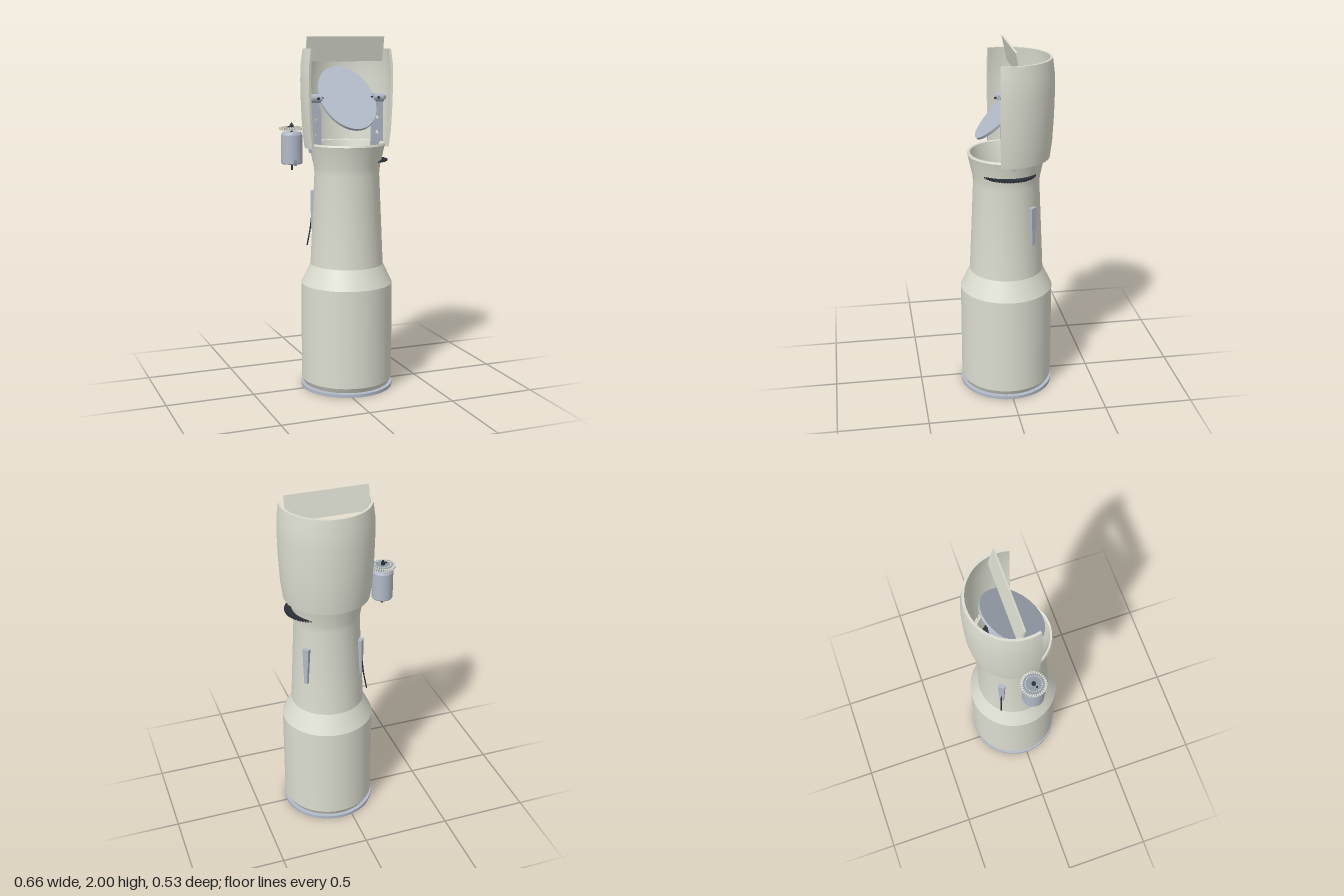
import * as THREE from 'three';
import { toCreasedNormals } from 'three/addons/utils/BufferGeometryUtils.js';

const material = (name, color, side = THREE.FrontSide) => {
  const m = new THREE.MeshStandardMaterial({ color, side });
  m.name = name;
  return m;
};

export function createModel() {
  const cream = material('cream shell', 0xdcddd0, THREE.DoubleSide);
  const steel = material('blue grey steel', 0xb2bac8);
  const slate = material('slate plate', 0x8f99a5);
  const dark = material('dark rubber', 0x2b3037);

  const model = new THREE.Group();
  const tower = new THREE.Group(); // everything on the main axis
  tower.name = 'tower';
  tower.position.x = 0.065;
  const motor = new THREE.Group();
  motor.name = 'motorUnit';
  motor.position.x = -0.262;
  model.add(tower, motor);

  const add = (parent, name, geo, mat, x = 0, y = 0, z = 0) => {
    const mesh = new THREE.Mesh(geo, mat);
    mesh.name = name;
    mesh.position.set(x, y, z);
    parent.add(mesh);
    return mesh;
  };
  const points = (list) => list.map(([x, y]) => new THREE.Vector2(x, y));
  const lathe = (list, start = 0, length = Math.PI * 2) =>
    toCreasedNormals(new THREE.LatheGeometry(points(list), 72, start, length), 0.4);
  const cyl = (r, h, n = 32, r2 = r) => new THREE.CylinderGeometry(r, r2, h, n);
  const teeth = (parent, name, count, r, y, size, mat) => {
    for (let i = 0; i < count; i++) {
      const a = (i / count) * Math.PI * 2;
      const t = add(parent, name, new THREE.BoxGeometry(...size), mat, r * Math.cos(a), y, r * Math.sin(a));
      t.rotation.y = -a;
    }
  };

  // Base ring with a round opening
  add(tower, 'baseRing', lathe([[0.095, 0], [0.263, 0], [0.263, 0.018], [0.095, 0.018], [0.095, 0]]), steel);

  // Hollow body with shoulder, tapered neck and flared lip
  add(tower, 'body', lathe([
    [0.235, 0.018], [0.245, 0.022], [0.26, 0.05], [0.26, 0.61], [0.207, 0.72], [0.183, 1.24],
    [0.187, 1.28], [0.21, 1.385], [0.214, 1.4], [0.209, 1.411], [0.199, 1.408],
    [0.172, 1.28], [0.169, 1.24], [0.193, 0.72], [0.246, 0.605], [0.246, 0.05], [0.235, 0.018],
  ]), cream);

  // Wrap-around hood, open at the front
  const hoodProfile = [
    [0.238, 1.385], [0.25, 1.48], [0.257, 1.62], [0.26, 1.76], [0.257, 1.85], [0.246, 1.932],
    [0.232, 1.932], [0.242, 1.85], [0.245, 1.76], [0.242, 1.62], [0.235, 1.48], [0.224, 1.385],
  ];
  const open = 1.295;
  add(tower, 'hood', lathe([...hoodProfile, hoodProfile[0]], open, Math.PI * 2 - 2 * open), cream);
  for (const a of [open, -open]) {
    const edge = add(tower, 'hoodEdge', new THREE.ShapeGeometry(new THREE.Shape(points(hoodProfile))), cream);
    edge.rotation.y = a - Math.PI / 2;
  }

  // Tilted visor board across the top
  const visor = add(tower, 'visor', new THREE.BoxGeometry(0.46, 0.14, 0.01), cream, 0, 1.93, -0.03);
  visor.rotation.x = 0.21;

  // Elliptical tilting mirror
  const mirrorGeo = cyl(0.163, 0.014, 72);
  mirrorGeo.scale(1, 1, 1.44);
  const mirror = add(tower, 'mirror', mirrorGeo, steel, 0, 1.66, 0);
  mirror.rotation.x = Math.PI / 4;

  // Mirror brackets and pivots on both sides
  for (const s of [-1, 1]) {
    const outline = [[0.15, 1.36], [0.222, 1.36], [0.222, 1.64], [0.17, 1.64], [0.15, 1.58]];
    const shape = new THREE.Shape(points(outline.map(([x, y]) => [s * x, y])));
    for (const y of [1.465, 1.55]) {
      shape.holes.push(new THREE.Path().absarc(s * 0.188, y, 0.011, 0, Math.PI * 2));
    }
    const plate = new THREE.ExtrudeGeometry(shape, { depth: 0.014, bevelEnabled: false, curveSegments: 16 });
    add(tower, 'mirrorBracket', plate, steel, 0, 0, -0.016);
    const pivot = add(tower, 'mirrorPivot', cyl(0.024, 0.064), steel, s * 0.187, 1.66, 0.003);
    pivot.rotation.z = Math.PI / 2;
    const pin = add(tower, 'pivotPin', cyl(0.008, 0.09, 16), dark, s * 0.187, 1.66, 0.003);
    pin.rotation.z = Math.PI / 2;
    add(tower, 'pivotScrew', cyl(0.007, 0.014, 12), dark, s * 0.18, 1.66, 0.03).rotation.x = Math.PI / 2;
  }

  // Large drive wheel that passes through the neck wall
  const wheel = new THREE.Group();
  wheel.name = 'driveWheel';
  wheel.position.set(0.088, 1.31, 0);
  tower.add(wheel);
  add(wheel, 'wheelRim', lathe([[0.105, -0.005], [0.14, -0.005], [0.14, 0.005], [0.105, 0.005], [0.105, -0.005]]), dark);
  teeth(wheel, 'wheelTooth', 60, 0.142, 0, [0.012, 0.01, 0.008], dark);
  add(wheel, 'wheelWeb', lathe([[0.045, -0.003], [0.106, -0.003], [0.106, 0.003], [0.045, 0.003], [0.045, -0.003]]), steel);
  add(wheel, 'wheelHub', lathe([[0.035, -0.008], [0.05, -0.008], [0.05, 0.012], [0.035, 0.012], [0.035, -0.008]]), slate);

  // Wedge handles on the back of the neck
  for (const s of [-1, 1]) {
    const shape = new THREE.Shape(points([[-0.011, -0.11], [0.011, -0.11], [0.019, 0.11], [-0.019, 0.11]]));
    const geo = new THREE.ExtrudeGeometry(shape, { depth: 0.024, bevelEnabled: false });
    const holder = new THREE.Group();
    holder.name = 'sideHandle';
    holder.rotation.y = Math.PI - s * 0.92;
    tower.add(holder);
    add(holder, 'handleWedge', geo, steel, 0, 1.02, 0.186);
    if (s < 0) {
      const path = new THREE.CatmullRomCurve3([
        new THREE.Vector3(0, 0.99, 0.208), new THREE.Vector3(0, 0.91, 0.218), new THREE.Vector3(0.004, 0.81, 0.236),
      ]);
      add(holder, 'cord', new THREE.TubeGeometry(path, 16, 0.004, 8), dark);
    }
  }

  // Side motor with shaft and toothed pinion
  add(motor, 'motorCan', lathe([
    [0, 1.305], [0.056, 1.305], [0.059, 1.31], [0.059, 1.465], [0.052, 1.48], [0, 1.48],
  ]), steel);
  add(motor, 'motorShaft', cyl(0.006, 0.26, 16), dark, 0, 1.4, 0);
  add(motor, 'motorTerminal', new THREE.BoxGeometry(0.014, 0.03, 0.012), slate, 0, 1.315, 0.06);
  add(motor, 'pinionDisc', cyl(0.059, 0.012, 48), slate, 0, 1.499, 0);
  teeth(motor, 'pinionTooth', 32, 0.063, 1.499, [0.014, 0.014, 0.007], cream);
  teeth(motor, 'pinionRidge', 28, 0.044, 1.507, [0.006, 0.006, 0.004], cream);
  add(motor, 'pinionHub', cyl(0.011, 0.018, 12), dark, 0, 1.511, 0);
  add(motor, 'pinionScrew', cyl(0.005, 0.01, 10), dark, -0.022, 1.508, 0.01);

  return model;
}
